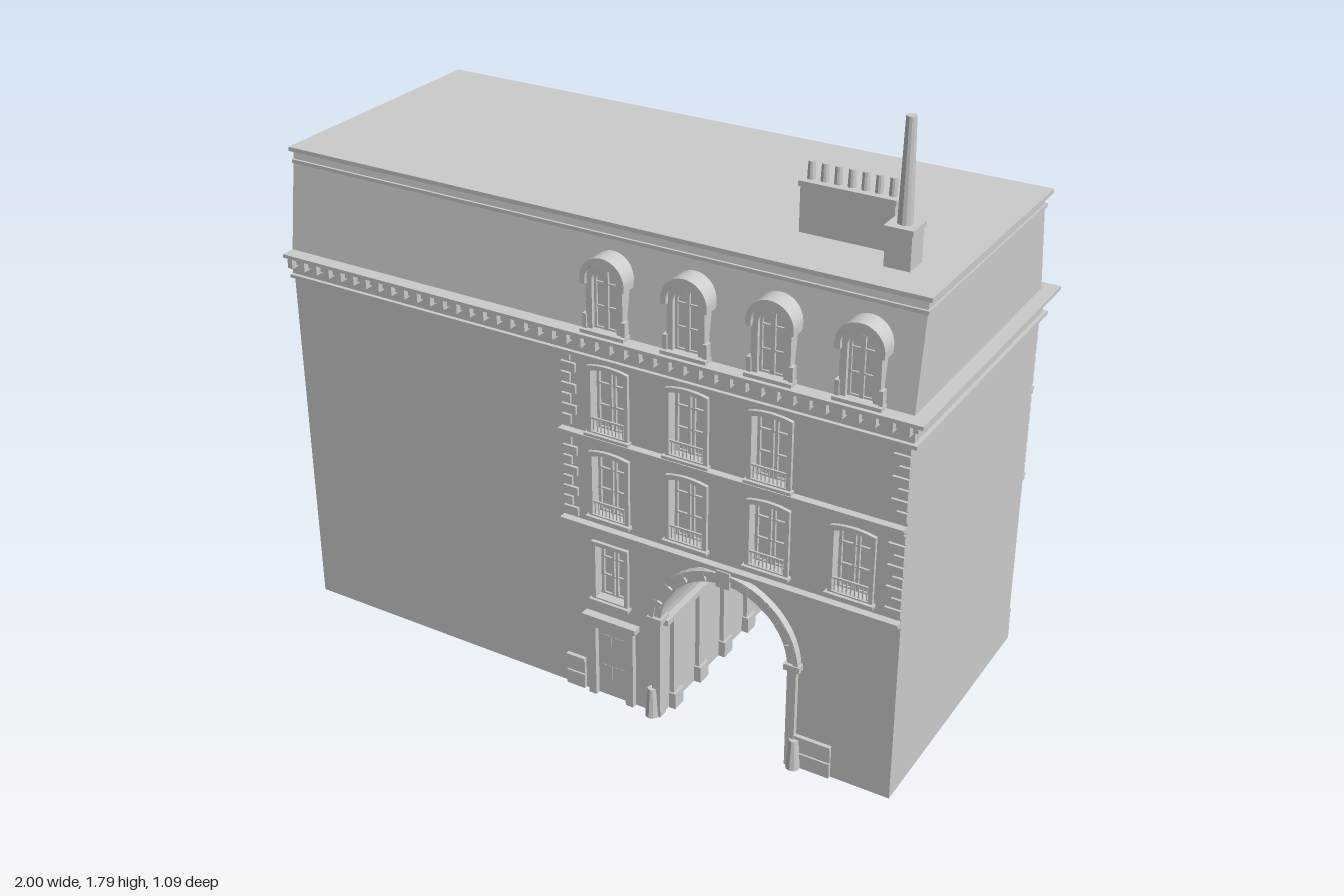
import * as THREE from 'three';

const mat = new THREE.MeshStandardMaterial({ color: 0xcccccc, flatShading: true, side: THREE.DoubleSide });
const L = -0.96, R = 0.92, W = 0.41;          // wall ends and half depth
const BAY = 0.2355, BAYS = [0.077, 0.312, 0.548, 0.783];
const GATE = { u: 0.43, r: 0.195, spring: 0.31 };

function add(parent, name, geo, x = 0, y = 0, z = 0) {
  const m = new THREE.Mesh(geo, mat);
  m.name = name;
  m.position.set(x, y, z);
  parent.add(m);
  return m;
}
// Box placed by centre x, bottom y, centre z
const box = (p, name, w, h, d, x, y, z) => add(p, name, new THREE.BoxGeometry(w, h, d), x, y + h / 2, z);
const extrude = (shape, depth) => new THREE.ExtrudeGeometry(shape, { depth, bevelEnabled: false, curveSegments: 12 });

// Opening with a slightly bowed head, standing on y
function opening(Type, x, y, w, h, rise) {
  const s = new Type();
  s.moveTo(x - w / 2, y);
  s.lineTo(x + w / 2, y);
  s.lineTo(x + w / 2, y + h - rise);
  s.quadraticCurveTo(x, y + h + rise, x - w / 2, y + h - rise);
  s.lineTo(x - w / 2, y);
  return s;
}
// Round-headed band: legs from y0 to the spring, then a half circle
function archBand(r, R2, y0, spring) {
  const s = new THREE.Shape();
  s.moveTo(-R2, y0);
  s.lineTo(-R2, spring);
  s.absarc(0, spring, R2, Math.PI, 0, true);
  s.lineTo(R2, y0);
  s.lineTo(r, y0);
  s.lineTo(r, spring);
  s.absarc(0, spring, r, 0, Math.PI, false);
  s.lineTo(-r, y0);
  return s;
}

// Casement window set into the wall: reveal, pane, glazing bars, sill and guard
function windowUnit(parent, x, y, w, h, rise, guard) {
  const g = new THREE.Group();
  g.name = 'window';
  g.position.set(x, y, W);
  const ring = opening(THREE.Shape, 0, -0.006, w + 0.024, h + 0.018, rise);
  ring.holes.push(opening(THREE.Path, 0, 0, w, h, rise));
  add(g, 'windowFrame', extrude(ring, 0.04), 0, 0, -0.03);
  add(g, 'windowPane', new THREE.ShapeGeometry(opening(THREE.Shape, 0, 0, w, h, rise)), 0, 0, -0.026);
  for (const sx of [-1, 1]) {
    box(g, 'casementStile', 0.007, h - 0.01, 0.008, sx * 0.006, 0, -0.022);
    box(g, 'casementStile', 0.008, h - 0.01, 0.008, sx * (w / 2 - 0.006), 0, -0.022);
  }
  for (const f of [0, 0.36, 0.7]) box(g, 'glazingBar', w, 0.005, 0.006, 0, h * f, -0.022);
  box(g, 'windowSill', w + 0.035, 0.01, 0.03, 0, -0.014, 0.004);
  if (guard) {
    box(g, 'guardRail', w, 0.005, 0.005, 0, 0.035, 0.004);
    for (let i = -4; i <= 4; i++) box(g, 'guardBar', 0.003, 0.035, 0.003, i * w / 9, 0, 0.004);
  }
  parent.add(g);
}

function door(parent, x) {
  box(parent, 'doorLeaf', 0.1, 0.225, 0.02, x, 0, W - 0.015);
  for (const sx of [-1, 1]) {
    box(parent, 'doorJamb', 0.024, 0.235, 0.024, x + sx * 0.06, 0, W + 0.004);
    box(parent, 'doorPanel', 0.034, 0.075, 0.008, x + sx * 0.022, 0.025, W - 0.003);
    box(parent, 'doorPanel', 0.034, 0.085, 0.008, x + sx * 0.022, 0.115, W - 0.003);
  }
  box(parent, 'doorLintel', 0.145, 0.02, 0.024, x, 0.225, W + 0.004);
  box(parent, 'doorHood', 0.17, 0.016, 0.036, x, 0.25, W + 0.008);
}

function dormer(parent, x) {
  const g = new THREE.Group();
  g.name = 'dormer';
  g.position.x = x;
  add(g, 'dormerBody', extrude(archBand(0.036, 0.054, 1.13, 1.275), 0.09), 0, 0, 0.335);
  add(g, 'dormerHood', extrude(archBand(0.05, 0.065, 1.265, 1.28), 0.082), 0, 0, 0.354);
  const pane = new THREE.Shape();
  pane.moveTo(-0.037, 1.13);
  pane.lineTo(0.037, 1.13);
  pane.absarc(0, 1.275, 0.037, 0, Math.PI, false);
  add(g, 'dormerPane', new THREE.ShapeGeometry(pane), 0, 0, 0.408);
  add(g, 'dormerCasement', extrude(archBand(0.029, 0.036, 1.13, 1.275), 0.008), 0, 0, 0.406);
  box(g, 'dormerMullion', 0.012, 0.175, 0.008, 0, 1.13, 0.411);
  for (const y of [1.14, 1.2, 1.265]) box(g, 'dormerBar', 0.072, 0.005, 0.006, 0, y, 0.41);
  for (const sx of [-1, 1]) box(g, 'dormerScroll', 0.012, 0.05, 0.02, sx * 0.057, 1.13, 0.42);
  box(g, 'dormerSill', 0.13, 0.01, 0.04, 0, 1.13, 0.42);
  parent.add(g);
}

// One long face; m = 1 for the front, -1 mirrors the layout for the back
function facade(m) {
  const g = new THREE.Group();
  g.name = m > 0 ? 'frontFacade' : 'backFacade';
  if (m < 0) g.rotation.y = Math.PI;
  const [a, b] = m > 0 ? [L, R] : [-R, -L];
  const c = m * GATE.u, { r, spring } = GATE;
  const wins = [];
  BAYS.forEach((u, i) => {
    if (i < 3) wins.push([m * u, 0.838, 0.1, 0.185, 0.008, true]);
    if (i < 3 || m > 0) wins.push([m * u, 0.585, 0.1, 0.185, 0.008, true]);
  });
  wins.push([m * BAYS[0], 0.322, 0.09, 0.165, 0, false]);

  // Wall with gateway notch and window holes
  const s = new THREE.Shape();
  s.moveTo(a, 0);
  s.lineTo(c - r, 0);
  s.lineTo(c - r, spring);
  s.absarc(c, spring, r, Math.PI, 0, true);
  s.lineTo(c + r, 0);
  s.lineTo(b, 0);
  s.lineTo(b, 1.06);
  s.lineTo(a, 1.06);
  for (const [x, y, w, h, k] of wins) s.holes.push(opening(THREE.Path, x, y, w, h, k));
  add(g, 'wall', new THREE.ShapeGeometry(s, 16), 0, 0, W);
  for (const w of wins) windowUnit(g, ...w);
  door(g, m * 0.08);

  // String courses and corner quoins
  const mid = m * (R - 0.07) / 2, len = R + 0.07;
  for (const y of [0.535, 0.808]) {
    box(g, 'stringCourse', len, 0.014, 0.022, mid, y, W + 0.005);
    box(g, 'stringCourse', len, 0.006, 0.034, mid, y + 0.012, W + 0.005);
  }
  for (let i = 0; i < 16; i++) {
    const y = 0.56 + i * 0.031, w = i % 2 ? 0.028 : 0.044;
    if (i === 8) continue;
    box(g, 'quoin', w, 0.026, 0.012, m * (-0.066 + w / 2), y, W + 0.002);
    box(g, 'quoin', w, 0.026, 0.012, m * (R - w / 2), y, W + 0.002);
  }

  // Gateway surround, imposts, keystone, guard stones, plinth
  add(g, 'gateSurround', extrude(archBand(r - 0.004, r + 0.022, 0, spring), 0.03), c, 0, W - 0.015);
  add(g, 'gateMoulding', extrude(archBand(r + 0.016, r + 0.03, spring, spring), 0.036), c, 0, W - 0.015);
  for (let i = 1; i < 10; i++) {
    const t = Math.PI * i / 10, h = i === 5 ? 0.05 : 0.026;
    const v = add(g, i === 5 ? 'keystone' : 'voussoir', new THREE.BoxGeometry(i === 5 ? 0.04 : 0.022, h, 0.04),
      c + Math.cos(t) * (r + 0.014), spring + Math.sin(t) * (r + 0.014), W + 0.002);
    v.rotation.z = t - Math.PI / 2;
  }
  for (const sx of [-1, 1]) {
    box(g, 'impost', 0.045, 0.018, 0.045, c + sx * (r + 0.012), spring, W + 0.002);
    add(g, 'guardStone', new THREE.CylinderGeometry(0.013, 0.02, 0.09, 10), c + sx * (r + 0.022), 0.045, W + 0.014);
  }
  const far = m > 0 ? 0.75 : R;
  for (const [u0, u1] of [[-0.07, -0.01], [0.645, far]])
    for (const [y, h, d] of [[0, 0.045, 0.02], [0.048, 0.04, 0.016], [0.09, 0.01, 0.024]])
      box(g, 'plinth', u1 - u0, h, d, m * (u0 + u1) / 2, y, W);

  for (let i = 0; i < (m > 0 ? 4 : 8); i++) dormer(g, m * (BAYS[3] - i * BAY));
  return g;
}

function passage() {
  const g = new THREE.Group();
  g.name = 'passage';
  g.position.x = GATE.u;
  const { r, spring } = GATE;
  add(g, 'passageVault', extrude(archBand(r, r + 0.004, 0, spring), 2 * W), 0, 0, -W);
  for (const sx of [-1, 1]) {
    for (let i = 0; i < 6; i++) {
      const z = -0.35 + i * 0.14;
      box(g, 'pilaster', 0.014, spring - 0.01, 0.035, sx * (r - 0.006), 0, z);
      box(g, 'pilasterBase', 0.022, 0.05, 0.045, sx * (r - 0.01), 0, z);
    }
    box(g, 'passageCornice', 0.02, 0.018, 2 * W, sx * (r - 0.009), spring - 0.012, 0);
  }
  return g;
}

function chimneys() {
  const g = new THREE.Group();
  g.name = 'chimneys';
  box(g, 'wideStack', 0.25, 0.125, 0.05, 0.625, 1.42, 0.176);
  box(g, 'wideStackCap', 0.258, 0.014, 0.058, 0.625, 1.545, 0.176);
  for (let i = 0; i < 7; i++)
    add(g, 'chimneyPot', new THREE.CylinderGeometry(0.009, 0.011, 0.05, 10), 0.517 + i * 0.036, 1.58, 0.176);
  box(g, 'squareStack', 0.068, 0.1, 0.068, 0.798, 1.42, 0.249);
  box(g, 'squareStackCap', 0.076, 0.014, 0.076, 0.798, 1.515, 0.249);
  add(g, 'tallFlue', new THREE.CylinderGeometry(0.013, 0.019, 0.265, 12), 0.798, 1.66, 0.249);
  return g;
}

export function createModel() {
  const model = new THREE.Group();
  model.name = 'building';
  const body = new THREE.Group();
  body.name = 'townhouse';
  body.rotation.y = 0.104;
  model.add(body);
  body.add(facade(1), facade(-1), passage(), chimneys());

  for (const [x, s] of [[L, -1], [R, 1]])
    add(body, 'endWall', new THREE.PlaneGeometry(2 * W, 1.06), x, 0.53, 0).rotation.y = s * Math.PI / 2;

  // Cornice, stacked mouldings flush with the left end: bottom, height, overhang
  for (const [y, h, o] of [[1.05, 0.01, 0.018], [1.06, 0.035, 0.007], [1.095, 0.024, 0.02], [1.119, 0.01, 0.04]])
    box(body, 'cornice', R - L + o, h, 2 * (W + o), (L + R + o) / 2, y, 0);
  for (let i = 0; i < 44; i++)
    box(body, 'corniceBracket', 0.016, 0.03, 0.03, L + 0.02 + i * 0.0432, 1.089, W + 0.022);

  // Mansard roof with steep long sides and flat ends
  const s = new THREE.Shape();
  for (const [x, y] of [[-W, 1.125], [W, 1.125], [0.367, 1.415], [-0.367, 1.415]])
    s.curves.length || s.currentPoint.y ? s.lineTo(x, y) : s.moveTo(x, y);
  add(body, 'mansardRoof', extrude(s, R - L).rotateY(Math.PI / 2), L, 0, 0);
  box(body, 'roofMoulding', R - L + 0.005, 0.01, 0.757, (L + R + 0.005) / 2, 1.375, 0);
  box(body, 'roofCap', R - L + 0.015, 0.012, 0.775, (L + R + 0.015) / 2, 1.412, 0);
  return model;
}
